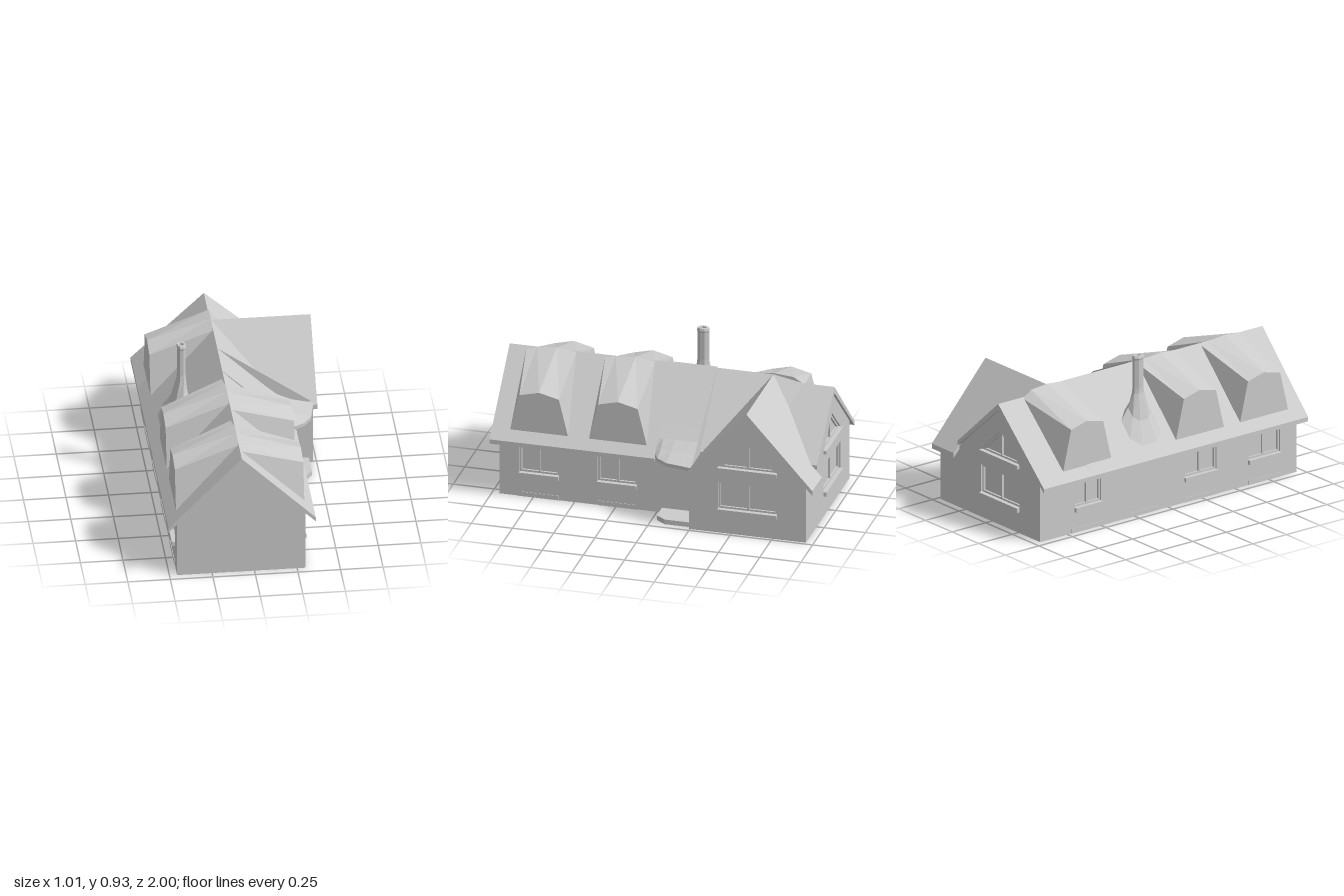
import * as THREE from 'three';

const grey = new THREE.MeshStandardMaterial({ color: 0xcccccc, flatShading: true });
const greyDouble = new THREE.MeshStandardMaterial({ color: 0xcccccc, flatShading: true, side: THREE.DoubleSide });
const RIDGE_X = -0.08;
const ridgeY = z => 0.79 - 0.035 * THREE.MathUtils.clamp((-0.6 - z) / 0.18, 0, 1);

function add(parent, name, geometry, material = grey) {
  const mesh = new THREE.Mesh(geometry, material);
  mesh.name = name;
  parent.add(mesh);
  return mesh;
}

function box(parent, name, w, h, d, x, y, z) {
  add(parent, name, new THREE.BoxGeometry(w, h, d)).position.set(x, y, z);
}

// Skin between closed cross-sections of equal length, capped at both ends
function loft(sections) {
  const n = sections[0].length, index = [];
  for (let s = 0; s < sections.length - 1; s++) {
    for (let i = 0; i < n; i++) {
      const a = s * n + i, b = s * n + (i + 1) % n;
      index.push(a, b, a + n, b, b + n, a + n);
    }
  }
  const last = (sections.length - 1) * n;
  for (let i = 1; i < n - 1; i++) index.push(0, i + 1, i, last, last + i, last + i + 1);
  const g = new THREE.BufferGeometry();
  g.setAttribute('position', new THREE.Float32BufferAttribute(sections.flat(2), 3));
  g.setIndex(index);
  const flat = g.toNonIndexed();
  flat.computeVertexNormals();
  return flat;
}

const polygon = pts => new THREE.Shape(pts.map(p => new THREE.Vector2(...p)));
const rect = (u0, u1, y0, y1) => [[u0, y0], [u1, y0], [u1, y1], [u0, y1]];

function extrude(outline, holes, depth) {
  const shape = polygon(outline);
  shape.holes = holes.map(polygon);
  return new THREE.ExtrudeGeometry(shape, { depth, bevelEnabled: false });
}

// Horizontal plate from an [x, z] plan
function plate(plan, y, height) {
  return extrude(plan.map(([x, z]) => [x, -z]), [], height).rotateX(-Math.PI / 2).translate(0, y, 0);
}

// Wall in its own plane: u runs along the wall, local z = 0 is the outer face
function facade(name, outline, windows, slots, x, z, angle) {
  const wall = new THREE.Group();
  wall.name = name;
  const holes = [];
  for (const { u, half, gable } of windows) {
    const opening = rect(u - half, u + half, 0.155, 0.325);
    holes.push(opening);
    const b = 0.012;
    add(wall, 'windowFrame', extrude(opening, [
      rect(u - half + b, u - b / 2, 0.155 + b, 0.325 - b),
      rect(u + b / 2, u + half - b, 0.155 + b, 0.325 - b)], 0.012)).position.z = -0.022;
    box(wall, 'windowPane', half * 2, 0.17, 0.006, u, 0.24, -0.026);
    box(wall, 'windowSill', half * 2, 0.027, 0.036, u, 0.142, 0);
    if (gable) {
      // Triangular light above the main window
      const triangle = [[u - half, 0.42], [u + half, 0.42], [u, 0.585]];
      holes.push(triangle);
      add(wall, 'gableWindowFrame', extrude(triangle, [
        [[u - half + 0.032, 0.432], [u - 0.006, 0.432], [u - 0.006, 0.562]],
        [[u + 0.006, 0.432], [u + half - 0.032, 0.432], [u + 0.006, 0.562]]], 0.012)).position.z = -0.022;
      add(wall, 'gableWindowPane', extrude(triangle, [], 0.006)).position.z = -0.029;
      box(wall, 'gableWindowSill', half * 2, 0.022, 0.036, u, 0.41, 0);
    }
  }
  for (const u of slots) box(wall, 'cellarPanel', 0.24, 0.028, 0.006, u, 0.014, 0);
  add(wall, 'wall', extrude(outline, holes, 0.03).translate(0, 0, -0.03));
  wall.position.set(x, 0, z);
  wall.rotation.y = angle;
  return wall;
}

// One slope of the main roof; stations are [z, eaveX, eaveY]
function roofSlope(stations) {
  return loft(stations.map(([z, x, y]) => [
    [RIDGE_X, ridgeY(z), z], [x, y, z], [x, y - 0.027, z], [RIDGE_X, ridgeY(z) - 0.04, z]]));
}

// Dormer whose trapezoid face blends back to the main ridge
function dormer(zc, xs) {
  return loft(xs.map(x => {
    const atRidge = x === RIDGE_X;
    const foot = z => [x, atRidge ? ridgeY(z) - 0.008 : 0.39, z];
    const shoulder = atRidge ? 0.787 : 0.645, top = atRidge ? 0.798 : 0.675;
    return [foot(zc - 0.182), [x, shoulder, zc - 0.12], [x, top, zc],
      [x, shoulder, zc + 0.12], foot(zc + 0.182)];
  }));
}

// Octagonal stack on a skirt that flares down to the left roof slope
function chimney() {
  const ring = fn => Array.from({ length: 8 }, (_, i) => {
    const a = (i + 0.5) * Math.PI / 4;
    return fn(Math.cos(a), Math.sin(a));
  });
  const stack = (y, r) => ring((c, s) => [-0.31 + 0.028 * r * c, y, -0.11 + 0.038 * r * s]);
  const clamp = v => THREE.MathUtils.clamp(v * 1.3, -1, 1);
  const foot = ring((c, s) => {
    const x = -0.3625 + 0.092 * clamp(c);
    return [x, 0.78 + 1.035 * (x - RIDGE_X), -0.125 + 0.125 * clamp(s)];
  });
  const neck = stack(0.7, 1.05);
  const mid = foot.map((p, i) => p.map((v, k) => THREE.MathUtils.lerp(v, neck[i][k], k === 1 ? 0.5 : 0.68)));
  return loft([foot, mid, neck, stack(0.73, 0.95), stack(0.905, 0.95), stack(0.915, 1.05),
    stack(0.93, 0.9), stack(0.93, 0.5), stack(0.91, 0.5)]);
}

export function createModel() {
  const house = new THREE.Group();
  house.name = 'house';
  const q = Math.PI / 2;

  // Walls
  const gableEnd = (l, r, hl, hr, mid, peak) => [[l, 0], [r, 0], [r, hr], [mid, peak], [l, hl]];
  const win = (u, half = 0.12) => ({ u, half });
  house.add(
    facade('frontGable', gableEnd(-0.455, 0.3, 0.37, 0.385, RIDGE_X, 0.755), [], [], 0, 0.955, 0),
    facade('backGable', gableEnd(-0.3, 0.455, 0.385, 0.37, 0.08, 0.725),
      [{ u: 0.08, half: 0.18, gable: true }], [], 0, -0.955, 2 * q),
    facade('leftWingGable', gableEnd(0.245, 0.955, 0.36, 0.365, 0.6, 0.755),
      [{ u: 0.6, half: 0.18, gable: true }], [], 0.48, 0, q),
    facade('leftWall', rect(-0.955, 0.25, 0, 0.38), [win(-0.715), win(-0.24)], [-0.715, -0.24], 0.3, 0, q),
    facade('rightWall', rect(-0.955, 0.955, 0, 0.37), [win(-0.6, 0.1), win(0.24), win(0.715)],
      [-0.6, -0.2, 0.24, 0.715], -0.455, 0, -q),
    facade('wingFrontWall', rect(0.27, 0.48, 0, 0.37), [], [], 0, -0.245, 0),
    facade('wingBackWall', rect(-0.48, -0.27, 0, 0.37), [], [], 0, -0.955, 2 * q));
  add(house, 'floor', plate([[-0.455, 0.955], [0.3, 0.955], [0.3, -0.245], [0.48, -0.245],
    [0.48, -0.955], [-0.455, -0.955]], 0, 0.004), greyDouble);

  // Main roof
  add(house, 'mainRoofLeft', roofSlope([[1, 0.355, 0.365], [0, 0.355, 0.365], [0, 0.3, 0.418],
    [-0.6, 0.3, 0.418], [-0.78, 0.3, 0.418], [-0.97, 0.3, 0.418]]), greyDouble);
  add(house, 'mainRoofRight', roofSlope([1, -0.6, -0.78, -0.97].map(z => [z, -0.51, 0.347])), greyDouble);

  // Wing roof: a front and a back slope, the back eave overhanging past the main gable
  const wingSlope = (stations) => loft(stations.map(([x, z, y]) => [
    [x, 0.79, -0.6], [x, y, z], [x, y - 0.03, z], [x, 0.75, -0.6]]));
  add(house, 'wingRoofFront', wingSlope([[RIDGE_X, -0.245, 0.385], [0.505, -0.245, 0.385]]), greyDouble);
  add(house, 'wingRoofBack', wingSlope([[RIDGE_X, -0.95, 0.4], [0.3, -0.95, 0.4],
    [0.3, -1, 0.347], [0.505, -1, 0.347]]), greyDouble);

  // Swept roof that flattens into the porch canopy
  const canopyEdge = [[0, 0.345], [-0.03, 0.4], [-0.1, 0.452], [-0.19, 0.468], [-0.26, 0.485]];
  add(house, 'porchRoof', loft(canopyEdge.map(([z, e]) => [
    [RIDGE_X, 0.797, z], [0.1, 0.622, z], [0.2, 0.525, z], [0.27, 0.462, z],
    [0.27 + 0.4 * (e - 0.27), 0.422, z], [e, 0.392, z], [e, 0.37, z], [0.27, 0.37, z]])), greyDouble);

  // Dormers: two spanning both slopes, one on the right slope only
  for (const z of [0.715, 0.237]) add(house, 'doubleDormer', dormer(z, [-0.455, RIDGE_X, 0.3]), greyDouble);
  add(house, 'singleDormer', dormer(-0.604, [-0.455, RIDGE_X]), greyDouble);

  add(house, 'chimney', chimney(), greyDouble);

  // Entrance
  add(house, 'doorStep', plate([[0.29, -0.03], [0.41, -0.03], [0.455, -0.09], [0.455, -0.25], [0.29, -0.25]], 0, 0.03));
  return house;
}
